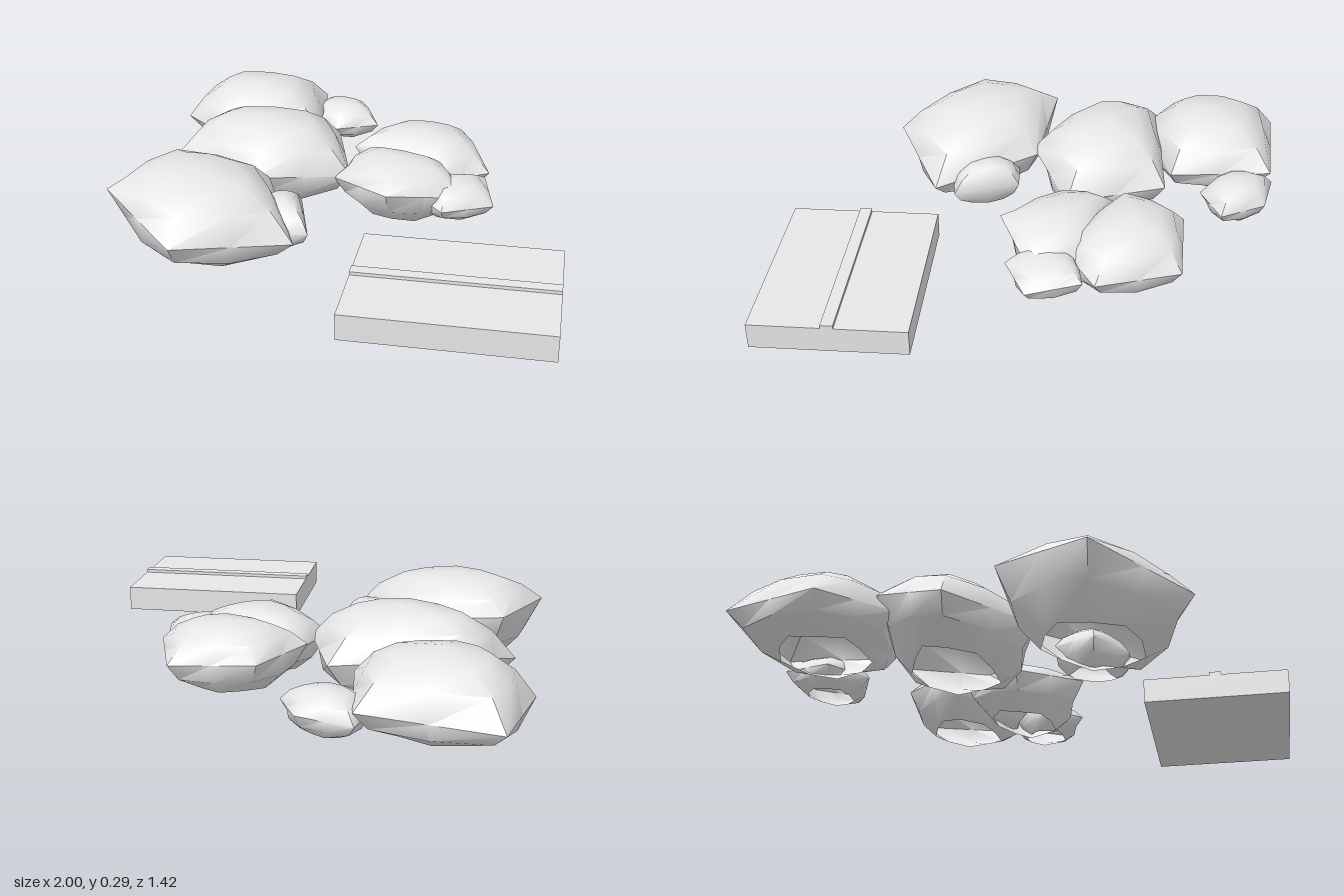
import * as THREE from 'three';
import { toCreasedNormals } from 'three/addons/utils/BufferGeometryUtils.js';

const stone = new THREE.MeshStandardMaterial({ color: 0xe7e7e7, side: THREE.DoubleSide });
stone.name = 'pale grey stone';

// Ring profile from the open underside to the crown:
// [corner scale, edge-middle scale, height: -1 base, 0 rim, 1 crown]
const PROFILE = [
  [0.48, 0.66, -1],
  [0.83, 0.95, -0.55],
  [1, 1, 0],
  [0.77, 0.86, 0.53],
  [0.5, 0.58, 0.85],
];

// Five-cornered hollow boulder: corners are [x, z, rim height], clockwise seen from above
function boulder(name, corners, apex, base) {
  const [ax, top, az] = apex;
  const outline = [];
  corners.forEach((c, i) => {
    const n = corners[(i + 1) % corners.length];
    outline.push(c, c.map((v, k) => (v + n[k]) / 2));
  });
  const rings = PROFILE.map(([corner, middle, h]) => outline.map(([x, z, rim], i) => {
    const s = i % 2 ? middle : corner;
    const y = h < 0 ? rim + (rim - base) * h : rim + (top - rim) * h;
    return [ax + (x - ax) * s, y, az + (z - az) * s];
  }));

  const pos = [];
  const tri = (...points) => points.forEach((p) => pos.push(...p));
  const count = outline.length;
  for (let i = 0; i < count; i++) {
    const j = (i + 1) % count;
    for (let r = 0; r < rings.length - 1; r++) {
      const lo = rings[r], hi = rings[r + 1];
      tri(lo[j], lo[i], hi[i]);
      tri(lo[j], hi[i], hi[j]);
    }
    const last = rings[rings.length - 1];
    tri(last[j], last[i], [ax, top, az]);
  }
  const geometry = new THREE.BufferGeometry();
  geometry.setAttribute('position', new THREE.Float32BufferAttribute(pos, 3));
  const mesh = new THREE.Mesh(toCreasedNormals(geometry, 0.8), stone);
  mesh.name = name;
  return mesh;
}

export function createModel() {
  const model = new THREE.Group();
  model.name = 'rocksAndSlab';

  // Three large boulders
  model.add(
    boulder('backBoulder',
      [[-1, -0.54, 0.115], [-0.59, -0.675, 0.14], [-0.41, -0.36, 0.14], [-0.69, -0.13, 0.13], [-0.95, -0.22, 0.12]],
      [-0.71, 0.28, -0.37], 0.03),
    boulder('middleBoulder',
      [[-0.73, -0.17, 0.18], [-0.32, -0.375, 0.14], [-0.085, -0.1, 0.13], [-0.32, 0.155, 0.16], [-0.745, 0.1, 0.11]],
      [-0.44, 0.293, -0.09], 0.01),
    boulder('frontBoulder',
      [[-0.645, 0.22, 0.2], [-0.28, 0.12, 0.16], [0.015, 0.38, 0.1], [-0.25, 0.69, 0.14], [-0.645, 0.55, 0.19]],
      [-0.37, 0.285, 0.39], 0),
  );

  // Two medium rocks
  model.add(
    boulder('rearRock',
      [[-0.15, -0.515, 0.15], [0.12, -0.62, 0.13], [0.315, -0.4, 0.13], [0.18, -0.22, 0.13], [-0.18, -0.27, 0.16]],
      [0.03, 0.242, -0.4], 0.03),
    boulder('forwardRock',
      [[-0.15, -0.27, 0.14], [0.2, -0.32, 0.14], [0.33, -0.17, 0.13], [0.15, 0.035, 0.17], [-0.13, -0.06, 0.13]],
      [0.07, 0.222, -0.18], 0.025),
  );

  // Three small rocks tucked against the others
  model.add(
    boulder('frontSmallRock',
      [[-0.24, 0.17, 0.11], [-0.14, 0.12, 0.11], [0.015, 0.3, 0.1], [-0.08, 0.36, 0.1], [-0.24, 0.32, 0.11]],
      [-0.13, 0.18, 0.24], 0.03),
    boulder('sideSmallRock',
      [[0.18, -0.27, 0.12], [0.32, -0.36, 0.13], [0.435, -0.21, 0.11], [0.31, -0.07, 0.11], [0.18, -0.13, 0.11]],
      [0.26, 0.17, -0.21], 0.05),
    boulder('backSmallRock',
      [[-0.6, -0.68, 0.1], [-0.42, -0.715, 0.11], [-0.295, -0.6, 0.1], [-0.41, -0.475, 0.1], [-0.57, -0.52, 0.1]],
      [-0.46, 0.17, -0.6], 0.04),
  );

  // Flat slab with a raised strip along its middle
  const slab = new THREE.Group();
  slab.name = 'slab';
  const plate = new THREE.Mesh(new THREE.BoxGeometry(0.645, 0.086, 0.5), stone);
  plate.name = 'slabPlate';
  plate.position.y = 0.099;
  const strip = new THREE.Mesh(new THREE.BoxGeometry(0.645, 0.012, 0.04), stone);
  strip.name = 'slabStrip';
  strip.position.y = 0.147;
  slab.add(plate, strip);
  slab.position.set(0.602, 0, 0.347);
  slab.rotation.y = 0.415;
  model.add(slab);

  return model;
}
